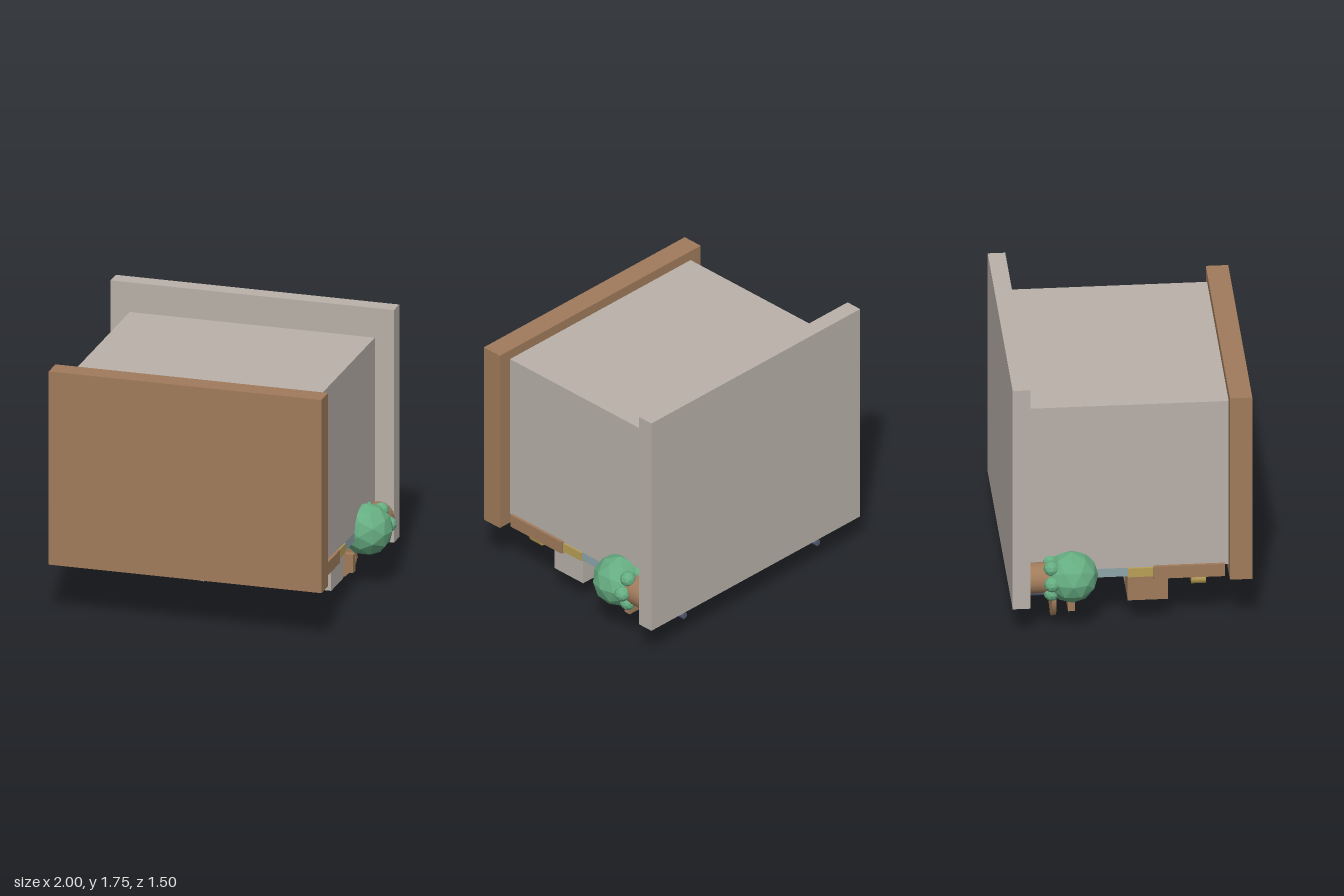
import * as THREE from 'three';

const mat = (name, color, flat = false) => {
  const m = new THREE.MeshStandardMaterial({ color, flatShading: flat });
  m.name = name;
  return m;
};

export function createModel() {
  const root = new THREE.Group();
  const wood = mat('brown wood', 0xa07b5b);
  const stone = mat('warm grey', 0xb9b1a9);
  const leaf = mat('leaf green', 0x66ad82, true);
  const brass = mat('brass yellow', 0xb99f55);
  const steel = mat('dark slate blue', 0x525d75);
  const teal = mat('pale teal', 0x8ea5a9);

  const add = (name, geometry, material, x, y, z) => {
    const mesh = new THREE.Mesh(geometry, material);
    mesh.name = name;
    mesh.position.set(x, y, z);
    root.add(mesh);
    return mesh;
  };
  // Box given by its limits on each axis
  const box = (name, material, x0, x1, y0, y1, z0, z1) =>
    add(name, new THREE.BoxGeometry(x1 - x0, y1 - y0, z1 - z0), material,
      (x0 + x1) / 2, (y0 + y1) / 2, (z0 + z1) / 2);
  // Cylinder lying along z
  const rod = (name, material, x, y, z0, z1, r, sides = 12) =>
    add(name, new THREE.CylinderGeometry(r, r, z1 - z0, sides).rotateX(Math.PI / 2),
      material, x, y, (z0 + z1) / 2);

  // Main block and its two end slabs
  box('mainBlock', stone, -0.8, 0.8, 0.405, 1.55, -0.64, 0.61);
  box('frontSlab', wood, -0.89, 0.89, 0.34, 1.615, 0.61, 0.75);
  box('backSlab', stone, -0.925, 0.925, 0.21, 1.745, -0.75, -0.64);

  // Layers under the block
  box('frontPlank', wood, -0.82, 0.82, 0.33, 0.415, 0.14, 0.585);
  box('brassStrip', brass, -0.805, 0.805, 0.34, 0.4, -0.02, 0.14);
  box('tealPanel', teal, -0.8, 0.8, 0.345, 0.405, -0.62, -0.02);
  box('centrePanel', wood, -0.45, 0.45, 0.315, 0.345, -0.6, -0.09);
  box('brassBar', brass, -0.2, 0.2, 0.295, 0.315, -0.33, -0.29);
  add('barKnob', new THREE.SphereGeometry(0.022, 10, 8), brass, 0.02, 0.285, -0.31);
  for (const x of [-0.39, -0.19, 0.19, 0.39]) rod('underRod', steel, x, 0.298, -0.58, -0.09, 0.018, 8);

  // Row of alternating blocks
  for (let i = 0; i < 8; i++) {
    const x = -0.79 + i * 0.1975;
    box('rowBlock', i % 2 ? stone : wood, x, x + 0.1975, 0.17, 0.36, -0.02, 0.23);
  }

  // Round centre plate with a button
  rod('centrePlate', stone, 0, 0.283, 0.365, 0.38, 0.083, 24);
  rod('centreButton', wood, 0, 0.26, 0.375, 0.39, 0.048, 16);

  for (const s of [-1, 1]) {
    // Brass knobs, wheels, axles and blocks
    rod('brassKnob', brass, s * 0.73, 0.288, 0.38, 0.47, 0.042, 16);
    rod('wheel', wood, s * 0.59, 0.147, -0.49, -0.46, 0.147, 12);
    rod('axle', steel, s * 0.59, 0.15, -0.71, -0.48, 0.022, 10);
    box('sideBlock', wood, Math.min(s * 0.585, s * 0.752), Math.max(s * 0.585, s * 0.752),
      0.09, 0.21, -0.39, -0.345);

    // Plant lying on its side: pot, crown and a ring of small leaves
    rod('plantPot', wood, s * 0.83, 0.377, -0.64, -0.48, 0.098, 16);
    add('plantCrown', new THREE.IcosahedronGeometry(0.168, 1), leaf, s * 0.83, 0.38, -0.375);
    for (let i = 0; i < 6; i++) {
      const a = i * Math.PI / 3;
      add('leafCluster', new THREE.IcosahedronGeometry(0.05, 1), leaf,
        s * (0.835 + 0.1 * Math.cos(a)), 0.38 + 0.1 * Math.sin(a), -0.505);
    }
  }
  return root;
}
